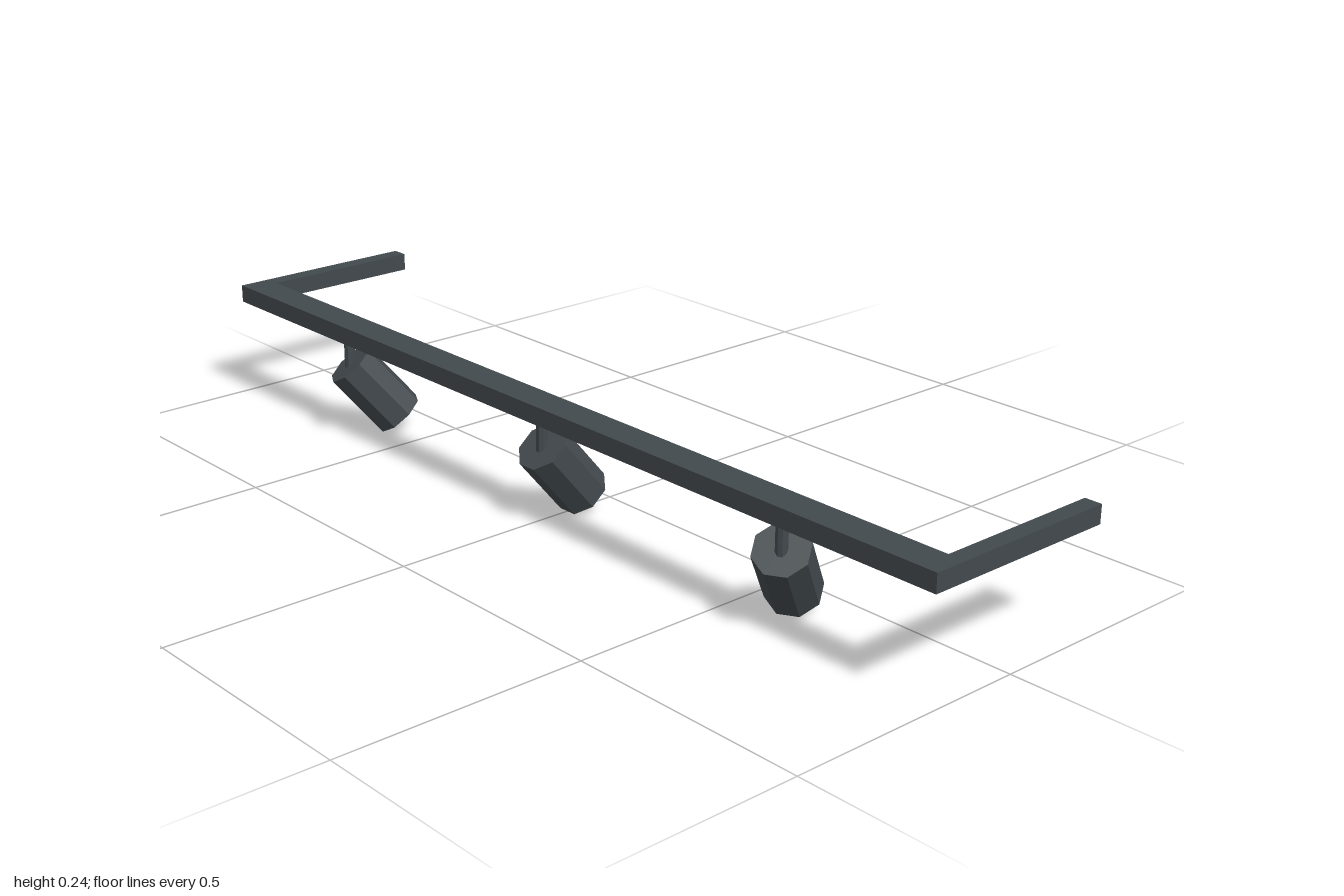
import * as THREE from 'three';

export function createModel() {
  const model = new THREE.Group();
  model.name = 'trackSpotlights';

  const metal = new THREE.MeshStandardMaterial({ color: 0x42494d, flatShading: true, side: THREE.DoubleSide });
  metal.name = 'charcoalMetal';

  const add = (parent, geometry, name, x = 0, y = 0, z = 0) => {
    const mesh = new THREE.Mesh(geometry, metal);
    mesh.name = name;
    mesh.position.set(x, y, z);
    parent.add(mesh);
    return mesh;
  };

  // Front rail
  const railY = 0.2265, railHeight = 0.037;
  add(model, new THREE.BoxGeometry(2, railHeight, 0.067), 'frontRail', 0, railY, 0.1685);

  // Side arms: tubes open at the back end (last box face left out)
  const armGeometry = new THREE.BoxGeometry(0.035, railHeight, 0.348);
  armGeometry.setIndex(Array.from(armGeometry.index.array).slice(0, 30));
  armGeometry.clearGroups();
  for (const side of [-1, 1]) {
    add(model, armGeometry, side > 0 ? 'leftArm' : 'rightArm', side * 0.9825, railY, -0.039);
  }

  // Lamp parts, hung from the centre of the closed top
  const radius = 0.0541, length = 0.155, sides = 8;
  const shellGeometry = new THREE.CylinderGeometry(radius, radius, length, sides, 1, true)
    .rotateY(Math.PI / sides).translate(0, -length / 2, 0);
  const capGeometry = new THREE.CircleGeometry(radius, sides)
    .rotateX(-Math.PI / 2).rotateY(Math.PI / sides);
  const stemGeometry = new THREE.CylinderGeometry(0.0115, 0.0115, 0.074, sides)
    .rotateY(Math.PI / sides);

  // Three lamps tipped backwards, the outer two turned inwards
  for (const side of [-1, 0, 1]) {
    const lamp = new THREE.Group();
    lamp.name = ['rightLamp', 'middleLamp', 'leftLamp'][side + 1];
    lamp.position.set(side * 0.636, 0.1515, 0.1705);
    lamp.rotation.y = side * THREE.MathUtils.degToRad(30);
    add(lamp, stemGeometry, 'stem', 0, 0.0255, 0);

    const head = new THREE.Group();
    head.name = 'lampHead';
    head.rotation.x = THREE.MathUtils.degToRad(40);
    add(head, shellGeometry, 'lampShell');
    add(head, capGeometry, 'lampCap');
    lamp.add(head);
    model.add(lamp);
  }

  return model;
}
